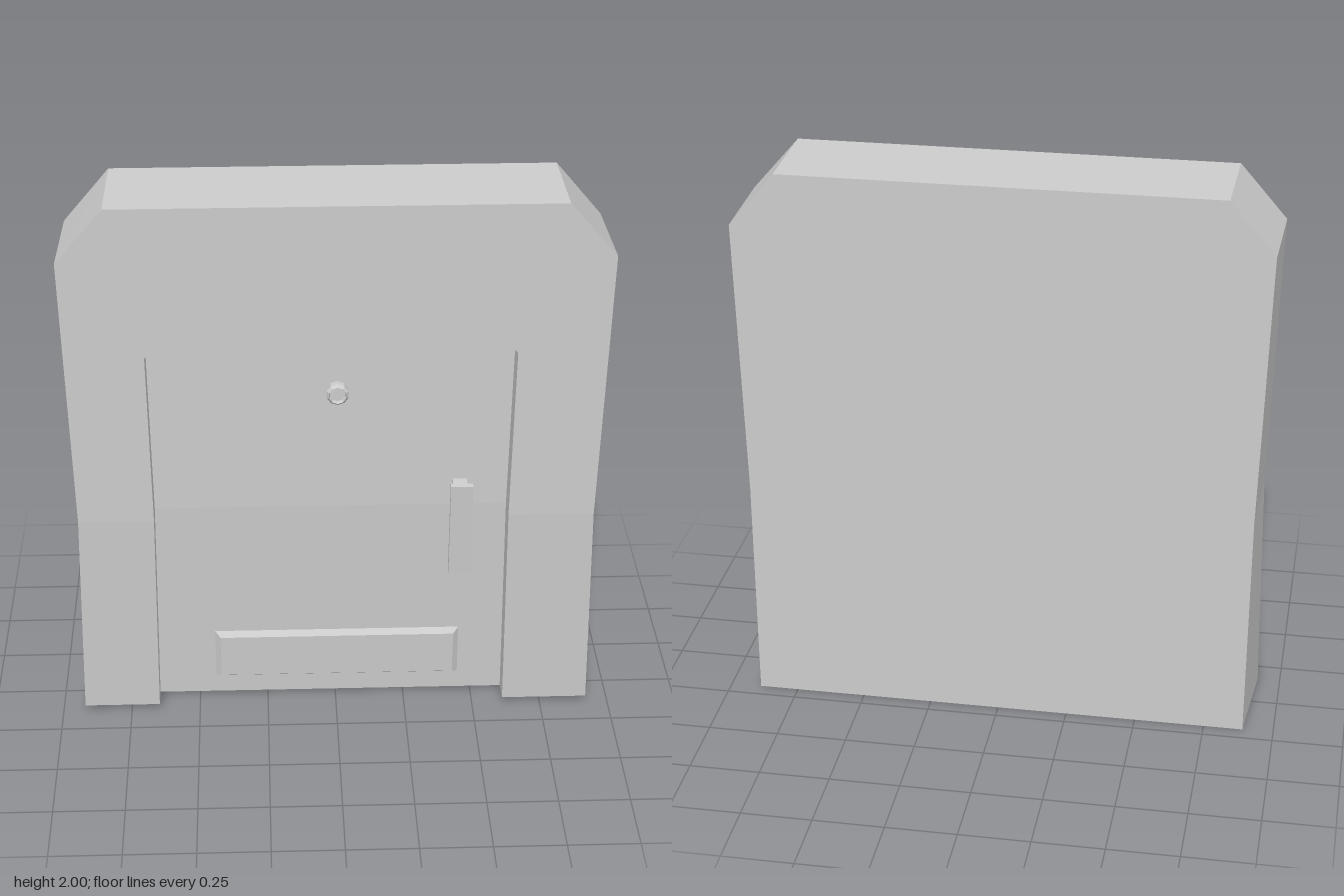
import * as THREE from 'three';

const material = new THREE.MeshStandardMaterial({ color: 0xcccccc, flatShading: true });

// Sloped front: leans back towards the foot
function frontZ(y) {
  if (y < 0.82) return 0.13 + (y - 0.02) / 0.8 * 0.05;
  return 0.18 + Math.min(1, (y - 0.82) / 0.99) * 0.015;
}
const backZ = (y) => -0.195 + y * 0.01;
const doorZ = (y) => frontZ(y) - 0.09;

// Arch outline from the right foot over the top to the left foot
function arch(half, zAt, shift = 0) {
  const right = half.map(([x, y]) => [x + shift, y, zAt(y)]);
  const left = half.map(([x, y]) => [-x + shift, y, zAt(y)]).reverse();
  return [...right, ...left];
}

function quadMesh(name, quads) {
  const pos = [];
  for (const [a, b, c, d] of quads) pos.push(...a, ...b, ...c, ...a, ...c, ...d);
  const geo = new THREE.BufferGeometry();
  geo.setAttribute('position', new THREE.Float32BufferAttribute(pos, 3));
  geo.computeVertexNormals();
  const mesh = new THREE.Mesh(geo, material);
  mesh.name = name;
  return mesh;
}

function strip(a, b, closed = false) {
  const quads = [];
  const n = a.length;
  for (let i = 0; i < (closed ? n : n - 1); i++) {
    const j = (i + 1) % n;
    quads.push([a[i], a[j], b[j], b[i]]);
  }
  return quads;
}

// Fill an arch with horizontal bands
const fill = (p) => [0, 1, 2].map((i) => [p[i], p[i + 1], p[6 - i], p[7 - i]]);

function box(name, w, h, d, x, y, z) {
  const mesh = new THREE.Mesh(new THREE.BoxGeometry(w, h, d), material);
  mesh.position.set(x, y, z);
  mesh.name = name;
  return mesh;
}

export function createModel() {
  const model = new THREE.Group();
  model.name = 'doorway';

  const opening = [[0.63, 0.02], [0.622, 0.82], [0.633, 1.455], [0.455, 1.655]];
  const back = arch([[0.89, 0], [0.895, 0.82], [0.925, 1.81], [0.765, 2]], backZ);
  const front = arch([[0.92, 0.02], [0.905, 0.82], [0.935, 1.81], [0.77, 2]], frontZ);
  const rim = arch(opening, frontZ, -0.018);
  const door = arch(opening, doorZ, -0.018);
  for (const i of [0, 7]) door[i][1] = 0.014;

  // Frame: outer sides, front face, jambs, back and underside
  model.add(quadMesh('frame', [
    ...strip(back, front),
    ...strip(front, rim),
    ...strip(rim, door),
    ...fill(back).map((q) => q.reverse()),
    [door[0], back[0], front[0], rim[0]],
    [rim[7], front[7], back[7], door[7]],
    [door[7], back[7], back[0], door[0]],
  ]));

  // Recessed door leaf
  model.add(quadMesh('door', fill(door)));

  // Raised kick plate with bevelled edges
  const plate = (x0, x1, y0, y1, h) =>
    [[x1, y0], [x1, y1], [x0, y1], [x0, y0]].map(([x, y]) => [x, y, doorZ(y) + h]);
  const base = plate(-0.44, 0.45, 0.085, 0.285, 0);
  const face = plate(-0.42, 0.43, 0.098, 0.265, 0.018);
  model.add(quadMesh('kickPlate', [...strip(base, face, true), face]));

  // Peephole ring with a sunken lens
  const profile = [[0.04, -0.01], [0.04, 0.025], [0.031, 0.036], [0.027, 0.022], [0, 0.022]]
    .map(([r, y]) => new THREE.Vector2(r, y));
  const peephole = new THREE.Mesh(new THREE.LatheGeometry(profile, 10), material);
  peephole.rotation.x = Math.PI / 2;
  peephole.position.set(0.005, 1.275, doorZ(1.275));
  peephole.name = 'peephole';
  model.add(peephole);

  // Pull handle: leaning bar on two brackets
  const handle = new THREE.Group();
  handle.name = 'handle';
  handle.add(box('handleBar', 0.078, 0.365, 0.022, 0, 0, -0.011));
  for (const y of [0.125, -0.12]) handle.add(box('handleBracket', 0.05, 0.05, 0.1, 0, y, -0.068));
  handle.position.set(0.437, 0.764, 0.186);
  handle.rotation.x = 0.07;
  model.add(handle);

  return model;
}
